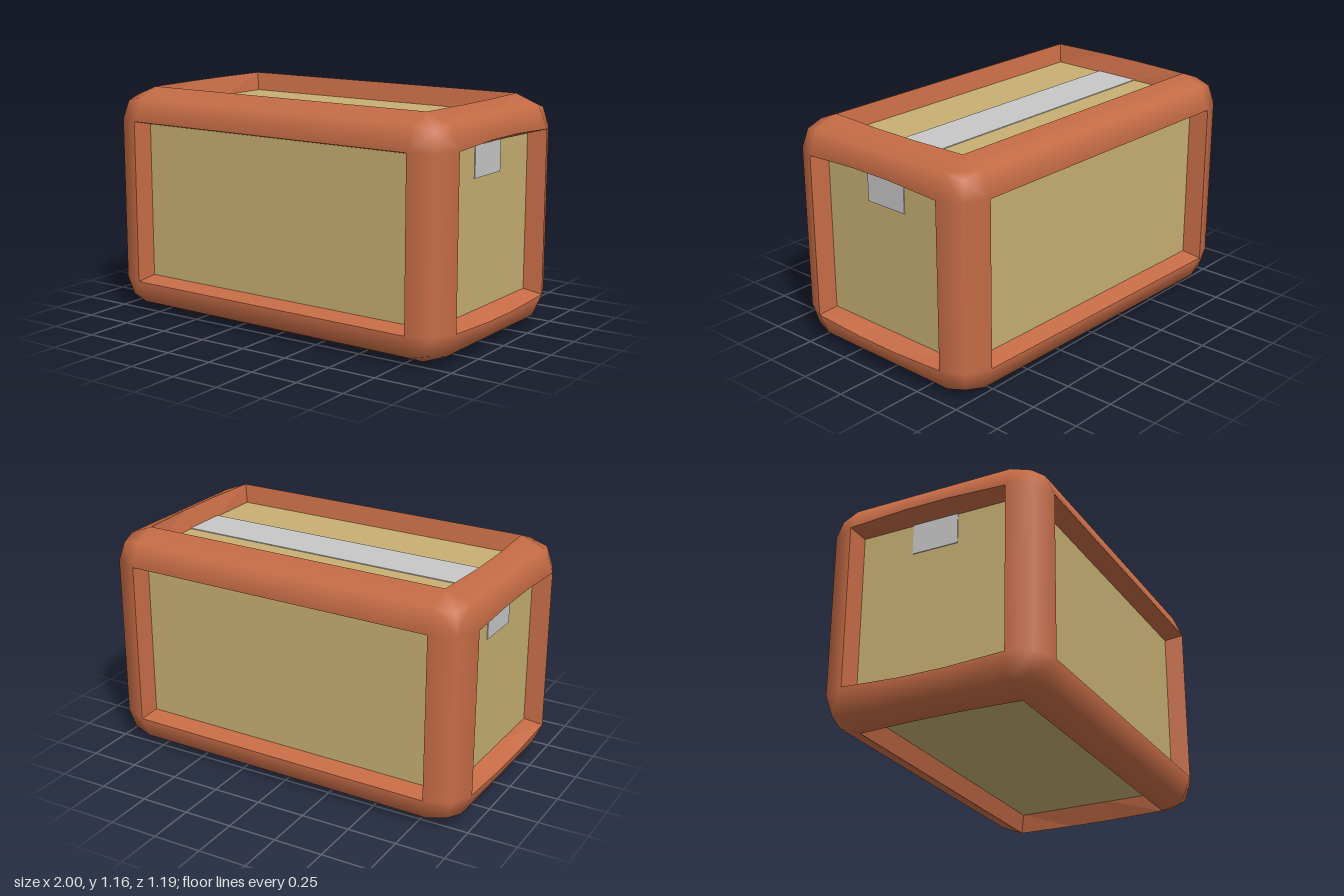
import * as THREE from 'three';

const INNER = [0.8175, 0.418, 0.417];  // half sizes of the openings (x, y, z)
const BEVEL = [0.175, 0.1645, 0.165];  // reach of the bevelled bars beyond them
const DEPTH = 0.095;                   // how far the panels sit back
const INSET = 0.022;                   // taper of the recess walls
const TAPE = 0.12;                     // half width of the tape
const BULGE = 0.015;                   // dip of the end bars where the tape passes

// Grid lines along one axis: position and bevel direction
function levels(axis) {
  const o = INNER[axis];
  const mid = axis === 2 ? [[-TAPE, 0], [TAPE, 0]] : [];
  return [[-o, -1], [-o, 0], ...mid, [o, 0], [o, 1]];
}

function geometryFrom(positions, normals) {
  const g = new THREE.BufferGeometry();
  g.setAttribute('position', new THREE.Float32BufferAttribute(positions, 3));
  if (normals) g.setAttribute('normal', new THREE.Float32BufferAttribute(normals, 3));
  else g.computeVertexNormals();
  return g;
}

// Smooth bevelled shell with six openings, and the flat recess walls
function buildFrame() {
  const shellPos = [], shellNorm = [], wallPos = [];
  for (let a = 0; a < 3; a++) for (const s of [1, -1]) {
    const b = (a + 1) % 3, c = (a + 2) % 3;
    const lb = levels(b), lc = levels(c), nb = lb.length, nc = lc.length;
    const order = s > 0 ? [0, 1, 2, 0, 2, 3] : [0, 2, 1, 0, 3, 2];

    const outer = (i, j) => {
      const n = new THREE.Vector3(), p = new THREE.Vector3();
      n.setComponent(a, s).setComponent(b, lb[i][1]).setComponent(c, lc[j][1]).normalize();
      p.setComponent(a, s * INNER[a]).setComponent(b, lb[i][0]).setComponent(c, lc[j][0]);
      for (let k = 0; k < 3; k++) p.setComponent(k, p.getComponent(k) + n.getComponent(k) * BEVEL[k]);
      // Widen the rim of the end bars at the tape
      const across = a === 0 ? 1 : 0;
      const rim = lb[i][1] === 0 && lc[j][1] === 0;
      if (a !== 2 && rim && Math.abs(p.z) < TAPE + 0.01) {
        const v = p.getComponent(across);
        p.setComponent(across, v + Math.sign(v) * BULGE);
      }
      return { p, n };
    };
    const recessed = (i, j) => new THREE.Vector3()
      .setComponent(a, s * (INNER[a] + BEVEL[a] - DEPTH - 0.002))
      .setComponent(b, lb[i][0] * (1 - INSET / INNER[b]))
      .setComponent(c, lc[j][0] * (1 - INSET / INNER[c]));

    // Ring of bar and corner faces around the opening
    for (let i = 0; i < nb - 1; i++) for (let j = 0; j < nc - 1; j++) {
      if (i > 0 && i < nb - 2 && j > 0 && j < nc - 2) continue;
      const q = [outer(i, j), outer(i + 1, j), outer(i + 1, j + 1), outer(i, j + 1)];
      for (const k of order) {
        shellPos.push(...q[k].p.toArray());
        shellNorm.push(...q[k].n.toArray());
      }
    }

    // Walls running round the rim
    const loop = [];
    for (let i = 1; i < nb - 2; i++) loop.push([i, 1]);
    for (let j = 1; j < nc - 2; j++) loop.push([nb - 2, j]);
    for (let i = nb - 2; i > 1; i--) loop.push([i, nc - 2]);
    for (let j = nc - 2; j > 1; j--) loop.push([1, j]);
    loop.forEach((e, k) => {
      const f = loop[(k + 1) % loop.length];
      const q = [outer(...e).p, outer(...f).p, recessed(...f), recessed(...e)];
      for (const m of order) wallPos.push(...q[m].toArray());
    });
  }
  return [geometryFrom(shellPos, shellNorm), geometryFrom(wallPos)];
}

export function createModel() {
  const material = (name, color) => {
    const m = new THREE.MeshStandardMaterial({ color });
    m.name = name;
    return m;
  };
  const rust = material('rust frame', 0xc66c46);
  const tan = material('tan cardboard', 0xc8b073);
  const grey = material('grey tape', 0xc8c8c8);

  const model = new THREE.Group();
  model.name = 'crate';
  const add = (name, geometry, mat, x = 0, y = 0, z = 0) => {
    const mesh = new THREE.Mesh(geometry, mat);
    mesh.name = name;
    mesh.position.set(x, y, z);
    body.add(mesh);
  };

  // The crate is turned very slightly about its upright axis
  const body = new THREE.Group();
  body.name = 'crateBody';
  body.position.y = INNER[1] + BEVEL[1];
  body.rotation.y = -0.018;
  model.add(body);

  const [shell, walls] = buildFrame();
  add('frame', shell, rust);
  add('recessWalls', walls, rust);

  // Cardboard box behind the openings
  const half = INNER.map((o, k) => o + BEVEL[k] - DEPTH);
  add('panels', new THREE.BoxGeometry(...half.map(h => h * 2)), tan);

  // Tape along the top, folded down over both ends
  const thick = 0.004, tapeBottom = 0.243;
  add('topTape', new THREE.BoxGeometry(half[0] * 2, thick, TAPE * 2), grey, 0, half[1] + thick / 2, 0);
  for (const s of [1, -1]) {
    add(s > 0 ? 'leftTape' : 'rightTape',
      new THREE.BoxGeometry(thick, half[1] - tapeBottom, TAPE * 2), grey,
      s * (half[0] + thick / 2), (half[1] + tapeBottom) / 2, 0);
  }
  return model;
}
